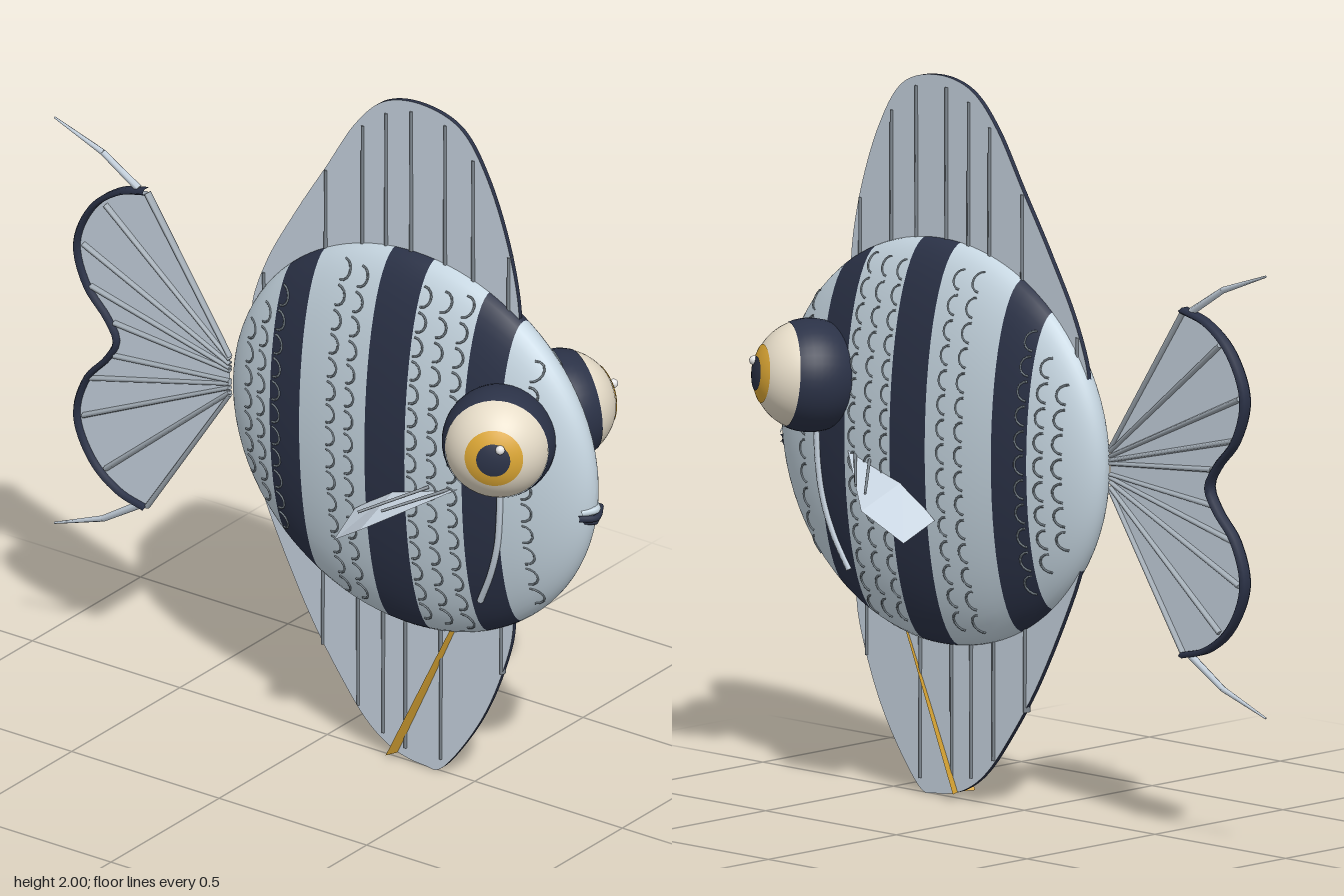
import * as THREE from 'three';
import { mergeGeometries } from 'three/addons/utils/BufferGeometryUtils.js';

const V = (x, y, z) => new THREE.Vector3(x, y, z);
const mat = (name, color, side = THREE.FrontSide) => {
  const m = new THREE.MeshStandardMaterial({ color, side });
  m.name = name;
  return m;
};

// body ellipsoid: centre and radii
const CY = 0.985, CZ = 0.3, RX = 0.15, RY = 0.565, RZ = 0.61;
const skinX = (y, z) =>
  RX * Math.sqrt(Math.max(0, 1 - ((y - CY) / RY) ** 2 - ((z - CZ) / RZ) ** 2));

const tube = (pts, r, seg, sides = 6) =>
  new THREE.TubeGeometry(new THREE.CatmullRomCurve3(pts), seg, r, sides);

// tapered rod between two points
function rod(a, b, r0, r1, sides = 6) {
  const d = b.clone().sub(a);
  const g = new THREE.CylinderGeometry(r1, r0, d.length(), sides);
  g.applyQuaternion(new THREE.Quaternion().setFromUnitVectors(V(0, 1, 0), d.normalize()));
  const m = a.clone().add(b).multiplyScalar(0.5);
  return g.translate(m.x, m.y, m.z);
}

// thin sheet from a list of triangle corners
function sheet(corners) {
  const g = new THREE.BufferGeometry().setFromPoints(corners);
  g.computeVertexNormals();
  return g;
}

// slice of the ellipsoid between two z values
function bodySlice(z0, z1) {
  const pts = [], a0 = Math.acos((z0 - CZ) / RZ), a1 = Math.acos((z1 - CZ) / RZ);
  const n = Math.max(4, Math.ceil((a0 - a1) / 0.07));
  for (let i = 0; i <= n; i++) {
    const a = a0 + (a1 - a0) * i / n;
    pts.push(new THREE.Vector2(Math.max(0, Math.sin(a)), CZ + RZ * Math.cos(a)));
  }
  return new THREE.LatheGeometry(pts, 56).rotateX(Math.PI / 2).scale(RX, RY, 1).translate(0, CY, 0);
}

// flat upright fin from a [z, y] outline
function finPlate(outline, depth) {
  const p = outline.map(([z, y]) => new THREE.Vector2(-z, y));
  const s = new THREE.Shape();
  s.moveTo(p[0].x, p[0].y);
  s.splineThru(p.slice(1));
  const g = new THREE.ExtrudeGeometry(s, { depth, bevelEnabled: false, curveSegments: 36 });
  return g.translate(0, 0, -depth / 2).rotateY(Math.PI / 2);
}

export function createModel() {
  const model = new THREE.Group();
  model.name = 'stripedFish';
  const skin = mat('paleBlue', 0xc6d6e1), navy = mat('navy', 0x2b3247);
  const fin = mat('finBlue', 0xc6d2de, THREE.DoubleSide), ray = mat('rayGrey', 0x7d868e);
  const tailRay = mat('tailRayGrey', 0xa3adb6), line = mat('scaleGrey', 0x77828a);
  const gold = mat('gold', 0xdba634, THREE.DoubleSide);
  const cream = mat('cream', 0xe6dcc8), white = mat('white', 0xffffff);
  const add = (name, geo, m, parent = model) => {
    const mesh = new THREE.Mesh(geo, m);
    mesh.name = name;
    parent.add(mesh);
    return mesh;
  };

  // body slices, pale and navy by turns
  const cuts = [CZ - RZ, -0.115, 0, 0.235, 0.37, 0.555, 0.665, CZ + RZ];
  for (let i = 0; i < cuts.length - 1; i++)
    add(i % 2 ? 'bodyStripe' : 'bodySkin', bodySlice(cuts[i], cuts[i + 1]), i % 2 ? navy : skin);

  // scale arcs lying on the skin
  const scales = [];
  for (const s of [-1, 1])
    for (const z0 of [0.735, 0.51, 0.445, 0.38, 0.165, 0.1, -0.105, -0.165, -0.22]) {
      const reach = RY * Math.sqrt(1 - ((z0 - CZ) / RZ) ** 2) * 0.9;
      const n = Math.floor(reach / 0.068);
      for (let k = -n; k <= n; k++) {
        const pts = [];
        for (let i = 0; i <= 6; i++) {
          const a = -1.6 + 3.2 * i / 6;
          const y = CY + k * 0.068 + 0.027 * Math.sin(a), z = z0 + 0.028 * Math.cos(a);
          pts.push(V(s * (skinX(y, z) + 0.001), y, z));
        }
        scales.push(tube(pts, 0.0032, 7, 4));
      }
    }
  add('scales', mergeGeometries(scales), line);

  // dorsal and anal fins with dark edges
  const dorsal = [[0.64, 1.3], [0.655, 1.45], [0.62, 1.64], [0.55, 1.83], [0.46, 1.96], [0.33, 2], [0.2, 1.975],
    [0.1, 1.88], [0, 1.72], [-0.1, 1.56], [-0.2, 1.38], [-0.25, 1.22], [-0.2, 1.12]];
  const anal = [[0.6, 0.7], [0.635, 0.52], [0.6, 0.36], [0.52, 0.18], [0.4, 0.015], [0.33, 0], [0.23, 0.02],
    [0.14, 0.08], [0.05, 0.19], [-0.05, 0.34], [-0.15, 0.53], [-0.22, 0.69], [-0.25, 0.82], [-0.2, 0.9]];
  add('dorsalFin', finPlate(dorsal, 0.014), [fin, navy]);
  add('analFin', finPlate(anal, 0.014), [fin, navy]);
  const rays = [];
  for (const [z, y] of [[0.62, 1.62], [0.5, 1.88], [0.405, 1.96], [0.29, 1.97], [0.205, 1.94], [0.125, 1.88], [0, 1.71],
    [-0.21, 1.34], [0.595, 0.35], [0.39, 0.035], [0.27, 0.035], [0.195, 0.06], [0.11, 0.12], [-0.01, 0.27], [-0.21, 0.69]])
    rays.push(rod(V(0, CY + (y > CY ? 0.2 : -0.2), z), V(0, y, z), 0.0075, 0.0065).scale(2, 1, 1));
  add('finRays', mergeGeometries(rays), ray);

  // tail fan, mirrored about its mid height
  const TY = 0.99;
  const half = [[-0.61, 0.48], [-0.7, 0.455], [-0.79, 0.385], [-0.845, 0.26], [-0.81, 0.14], [-0.74, 0.06]];
  const edge = [...half.map(([z, h]) => [z, TY + h]), [-0.71, TY],
    ...half.slice().reverse().map(([z, h]) => [z, TY - h])];
  const edgePts = edge.map(([z, y]) => V(0, y, z));
  const tailShape = new THREE.Shape([[-0.33, TY - 0.06], [-0.33, TY + 0.06]].map(([z, y]) => new THREE.Vector2(-z, y))
    .concat(new THREE.CatmullRomCurve3(edgePts).getPoints(48).map(p => new THREE.Vector2(-p.z, p.y))));
  add('tailFin', new THREE.ShapeGeometry(tailShape).rotateY(Math.PI / 2), fin);
  add('tailRim', tube(edgePts, 0.0095, 60).scale(2.4, 1, 1), navy);
  const tailRays = [], filaments = [];
  for (const s of [-1, 1]) {
    for (const [z, h] of [[-0.61, 0.475], [-0.75, 0.4], [-0.825, 0.26], [-0.8, 0.14], [-0.72, 0.05]])
      tailRays.push(rod(V(0, TY + s * (0.01 + h * 0.1), -0.33), V(0, TY + s * h, z), 0.006, 0.008).scale(1.6, 1, 1));
    filaments.push(rod(V(0, TY + s * 0.48, -0.64), V(0, TY + s * 0.555, -0.76), 0.011, 0.009));
    filaments.push(rod(V(0, TY + s * 0.555, -0.76), V(0, TY + s * 0.615, -0.925), 0.009, 0.003));
  }
  add('tailRays', mergeGeometries(tailRays), tailRay);
  add('tailFilaments', mergeGeometries(filaments), fin);

  // mouth
  const lip = (y, z, w, dip) => [V(-w, y - dip, z - 0.025), V(0, y, z), V(w, y - dip, z - 0.025)];
  add('upperLip', tube(lip(0.935, 0.91, 0.035, 0.004), 0.011, 12, 8), skin);
  add('mouth', tube(lip(0.912, 0.912, 0.052, -0.008), 0.01, 12, 8), navy);
  add('lowerLip', tube(lip(0.9, 0.908, 0.025, -0.004), 0.01, 12, 8), navy);

  for (const s of [-1, 1]) {
    const side = s > 0 ? 'left' : 'right';

    // bulging eye: bands of a sphere along its gaze, with a deep navy socket
    const eye = new THREE.Group();
    eye.name = side + 'Eye';
    eye.position.set(s * 0.14, 1.135, 0.685);
    eye.quaternion.setFromUnitVectors(V(0, 1, 0), V(s * 0.86, 0.08, 0.5).normalize());
    model.add(eye);
    const band = (r, a, b) => new THREE.SphereGeometry(r, 40, 16, 0, Math.PI * 2, a, b - a);
    add('eyeSocket', band(0.157, 1.14, Math.PI), navy, eye);
    add('eyeball', band(0.155, 0.5, 1.16), cream, eye);
    add('iris', band(0.157, 0.28, 0.54), gold, eye);
    add('pupil', band(0.159, 0, 0.3), navy, eye);
    const glint = add('glint', new THREE.SphereGeometry(0.013, 12, 8), white);
    glint.position.set(s * 0.262, 1.18, 0.778);

    // pectoral fin with two rays
    const [A, B, C, D, E] = [[0.13, 0.95, 0.55], [0.3, 0.825, 0.33], [0.257, 0.745, 0.21], [0.145, 0.795, 0.2],
      [0.14, 0.885, 0.33]].map(([x, y, z]) => V(s * x, y, z));
    const order = [A, E, B, E, C, B, E, D, C];
    if (s < 0) order.reverse();
    add(side + 'PectoralFin', sheet(order), fin);
    add(side + 'PectoralRays', mergeGeometries([
      rod(V(s * 0.145, 0.93, 0.45), V(s * 0.295, 0.875, 0.32), 0.005, 0.004),
      rod(V(s * 0.13, 0.94, 0.52), V(s * 0.27, 0.885, 0.38), 0.005, 0.004)]), ray);

    // gill line curving over the cheek
    const gill = [[0.98, 0.675], [0.9, 0.672], [0.8, 0.66], [0.7, 0.63], [0.6, 0.583]];
    add(side + 'GillLine', tube(gill.map(([y, z]) => V(s * (skinX(y, z) + 0.004), y, z)), 0.009, 20), fin);

    // trailing pelvic feeler, a flat ribbon widening downwards
    const [P, Q, R, S] = [[0.004, 0.45, 0.445], [0.022, 0.45, 0.435], [0.044, 0.015, 0.23], [0.01, 0.015, 0.245]]
      .map(([x, y, z]) => V(s * x, y, z));
    add(side + 'Feeler', sheet(s > 0 ? [P, S, R, P, R, Q] : [P, R, S, P, Q, R]), gold);
  }
  return model;
}
